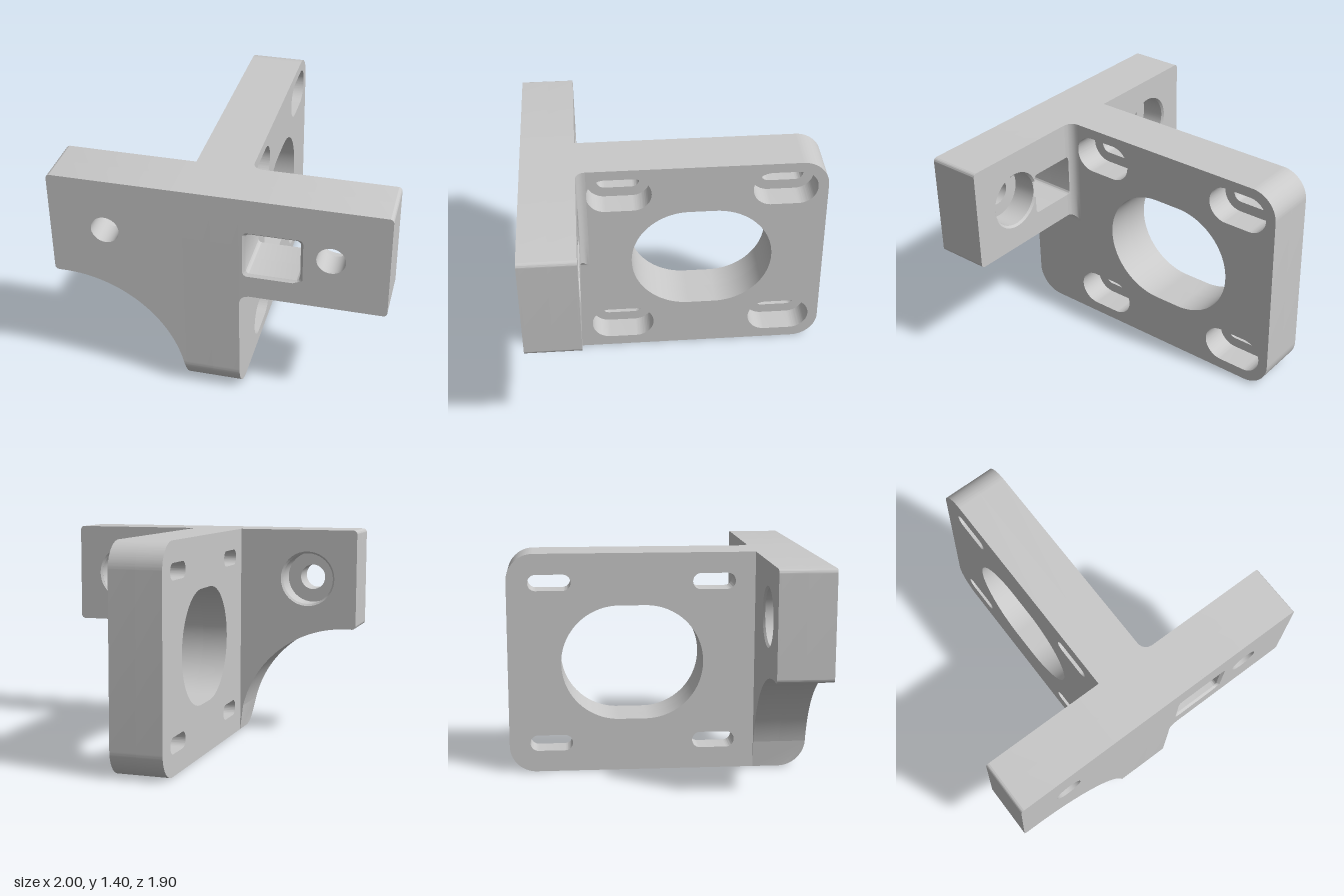
import * as THREE from 'three';
import { toCreasedNormals } from 'three/addons/utils/BufferGeometryUtils.js';

const PI = Math.PI;
// main planes of the bracket
const XL = -0.2, XR = 0.133, TOP = 1.4, BOTTOM = 0.737;
const FRONT = 0.95, MID = 0.78, BACK = 0.613, CHAMFER = 0.013;
const ARC_X = -0.937, ARC_R = 0.737, CORNER = 0.17, FILLET = 0.06;
// bolt holes and window in the wings
const BOLT_X = 0.666, BOLT_Y = 1.07, HOLE_R = 0.085, BORE_R = 0.172, RIM_R = 0.185;
const W0 = 0.17, W1 = 0.49, H0 = 0.893, H1 = 1.167, WR = 0.025;

// rounded rectangle, radii in order: bottom left, bottom right, top right, top left
function roundRect(path, x0, y0, x1, y1, radii) {
  const corners = [[x0, y0, 1, 1], [x1, y0, -1, 1], [x1, y1, -1, -1], [x0, y1, 1, -1]];
  corners.forEach(([x, y, sx, sy], i) => {
    const r = radii[i], a = PI + i * PI / 2;
    if (i === 0) path.moveTo(x, y + r);
    if (r > 0) path.absarc(x + sx * r, y + sy * r, r, a, a + PI / 2, false);
    else path.lineTo(x, y);
  });
  path.closePath();
  return path;
}

function slot(cx, cy, half, r) {
  return roundRect(new THREE.Path(), cx - half, cy - r, cx + half, cy + r, [r, r, r, r]);
}

function circle(cx, cy, r) {
  return new THREE.Path().absarc(cx, cy, r, 0, PI * 2, false);
}

// extrude a shape between two depths
function slab(shape, holes, from, to) {
  shape.holes = holes;
  const g = new THREE.ExtrudeGeometry(shape, { depth: to - from, bevelEnabled: false, curveSegments: 20 });
  return g.translate(0, 0, from);
}

// thin rear skin of a wing, its bore rim tapering inwards as a chamfer
function rearSkin(shape, holes, cx) {
  const g = slab(shape, holes, BACK, BACK + CHAMFER);
  const p = g.attributes.position, k = BORE_R / RIM_R;
  for (let i = 0; i < p.count; i++) {
    const dx = p.getX(i) - cx, dy = p.getY(i) - BOLT_Y;
    if (p.getZ(i) > BACK + CHAMFER / 2 && Math.abs(Math.hypot(dx, dy) - RIM_R) < 0.001)
      p.setXY(i, cx + dx * k, BOLT_Y + dy * k);
  }
  return g;
}

// concave fillet running under and up behind the right wing, mitred at the corner
function filletGeometry() {
  const angles = [0, Math.asin(1 - (W0 - XR) / FILLET), PI / 6, PI / 4, PI / 3, PI * 5 / 12, PI / 2]
    .sort((a, b) => a - b);
  const stations = [
    [FRONT, BOTTOM, 0, -1], [BACK, BOTTOM, -1, -1],
    [BACK, H0, -1, 0], [BACK, H1, -1, 0], [BACK, TOP, -1, 0],
  ];
  const point = (i, j) => {
    const [z, y, dz, dy] = stations[i];
    const o = FILLET * (1 - Math.cos(angles[j]));
    return [XR + FILLET * (1 - Math.sin(angles[j])), y + dy * o, z + dz * o];
  };
  const pos = [];
  const last = stations.length - 1;
  for (let j = 0; j < angles.length - 1; j++) {
    for (let i = 0; i < last; i++) {
      if (i === 2 && j === 0) continue; // cut by the window
      pos.push(...point(i, j), ...point(i, j + 1), ...point(i + 1, j));
      pos.push(...point(i + 1, j), ...point(i, j + 1), ...point(i + 1, j + 1));
    }
    pos.push(XR, BOTTOM, FRONT, ...point(0, j + 1), ...point(0, j));
    pos.push(XR, TOP, BACK, ...point(last, j), ...point(last, j + 1));
  }
  const g = new THREE.BufferGeometry();
  g.setAttribute('position', new THREE.Float32BufferAttribute(pos, 3));
  return g;
}

export function createModel() {
  const group = new THREE.Group();
  group.name = 'motorBracket';
  const metal = new THREE.MeshStandardMaterial({ color: 0xc9c9c9 });
  metal.name = 'grey metal';

  const add = (name, geometry) => {
    const mesh = new THREE.Mesh(toCreasedNormals(geometry, 0.5), metal);
    mesh.name = name;
    group.add(mesh);
  };

  // upright side plate, drawn in (-z, y) and turned to extrude along x
  const plateLayer = (half, r, from, to) => {
    const shape = roundRect(new THREE.Shape(), -FRONT, 0, FRONT, TOP, [CORNER, CORNER, CORNER, 0]);
    const holes = [slot(0.165, 0.703, 0.45, 0.367)];
    for (const u of [-0.353, 0.683])
      for (const y of [0.187, 1.218]) holes.push(slot(u, y, half, r));
    return slab(shape, holes, from, to).rotateY(PI / 2);
  };
  add('sidePlateOuterLayer', plateLayer(0.135, 0.051, XL, -0.035));
  add('sidePlateCounterboreLayer', plateLayer(0.2025, 0.1175, -0.035, XR));

  // left wing with the concave arc beneath it
  const leftShape = () => {
    const s = new THREE.Shape();
    s.moveTo(XL, TOP);
    s.lineTo(-0.97, TOP);
    s.absarc(-0.975, TOP - 0.025, 0.025, PI / 2, PI, false);
    s.absarc(-0.975, BOTTOM + 0.025, 0.025, PI, PI * 1.5, false);
    s.absarc(ARC_X, 0, ARC_R, PI / 2, Math.asin(CORNER / ARC_R), true);
    s.lineTo(XL, CORNER);
    s.closePath();
    return s;
  };
  const leftHole = (r) => [circle(-BOLT_X, BOLT_Y, r)];
  add('leftWingRearSkin', rearSkin(leftShape(), leftHole(RIM_R), -BOLT_X));
  add('leftWingBack', slab(leftShape(), leftHole(BORE_R), BACK + CHAMFER, MID));
  add('leftWingFront', slab(leftShape(), leftHole(HOLE_R), MID, FRONT));

  // thin toe of the left wing, following the plate's rounded corner and the arc
  const toe = slab(
    roundRect(new THREE.Shape(), -FRONT, 0, -BACK, CORNER, [CORNER, 0, 0, 0]), [], -0.22, XL,
  ).rotateY(PI / 2);
  const tp = toe.attributes.position;
  for (let i = 0; i < tp.count; i++)
    if (tp.getX(i) < -0.21) tp.setX(i, ARC_X + Math.sqrt(ARC_R ** 2 - tp.getY(i) ** 2));
  add('leftWingToe', toe);

  // right wing: only the chamfered rim of the bore breaks into the window
  const rightShape = () => roundRect(new THREE.Shape(), XR, BOTTOM, 1, TOP, [0, 0.025, 0.025, 0]);
  const rightHoles = (r) => [
    roundRect(new THREE.Path(), W0, H0, W1, H1, [WR, WR, WR, WR]), circle(BOLT_X, BOLT_Y, r),
  ];
  const a = Math.acos((W1 - BOLT_X) / RIM_R);
  const joined = new THREE.Path();
  joined.absarc(W0 + WR, H0 + WR, WR, PI, PI * 1.5, false);
  joined.absarc(W1 - WR, H0 + WR, WR, -PI / 2, 0, false);
  joined.absarc(BOLT_X, BOLT_Y, RIM_R, -a, a, false);
  joined.absarc(W1 - WR, H1 - WR, WR, 0, PI / 2, false);
  joined.absarc(W0 + WR, H1 - WR, WR, PI / 2, PI, false);
  add('rightWingRearSkin', rearSkin(rightShape(), [joined], BOLT_X));
  add('rightWingBack', slab(rightShape(), rightHoles(BORE_R), BACK + CHAMFER, MID));
  add('rightWingFront', slab(rightShape(), rightHoles(HOLE_R), MID, 0.935));

  // front skin of the right wing, window edge opened out into a chamfer
  const skin = slab(rightShape(), rightHoles(HOLE_R), 0.935, FRONT);
  const sp = skin.attributes.position;
  const wx = (W0 + W1) / 2, wy = (H0 + H1) / 2;
  for (let i = 0; i < sp.count; i++) {
    const dx = sp.getX(i) - wx, dy = sp.getY(i) - wy;
    if (sp.getZ(i) > 0.94 && Math.abs(dx) < 0.162 && Math.abs(dy) < 0.139)
      sp.setXY(i, wx + dx * 1.1, wy + dy * 1.1);
  }
  add('rightWingFrontSkin', skin);

  add('rightWingFillet', filletGeometry());
  return group;
}
